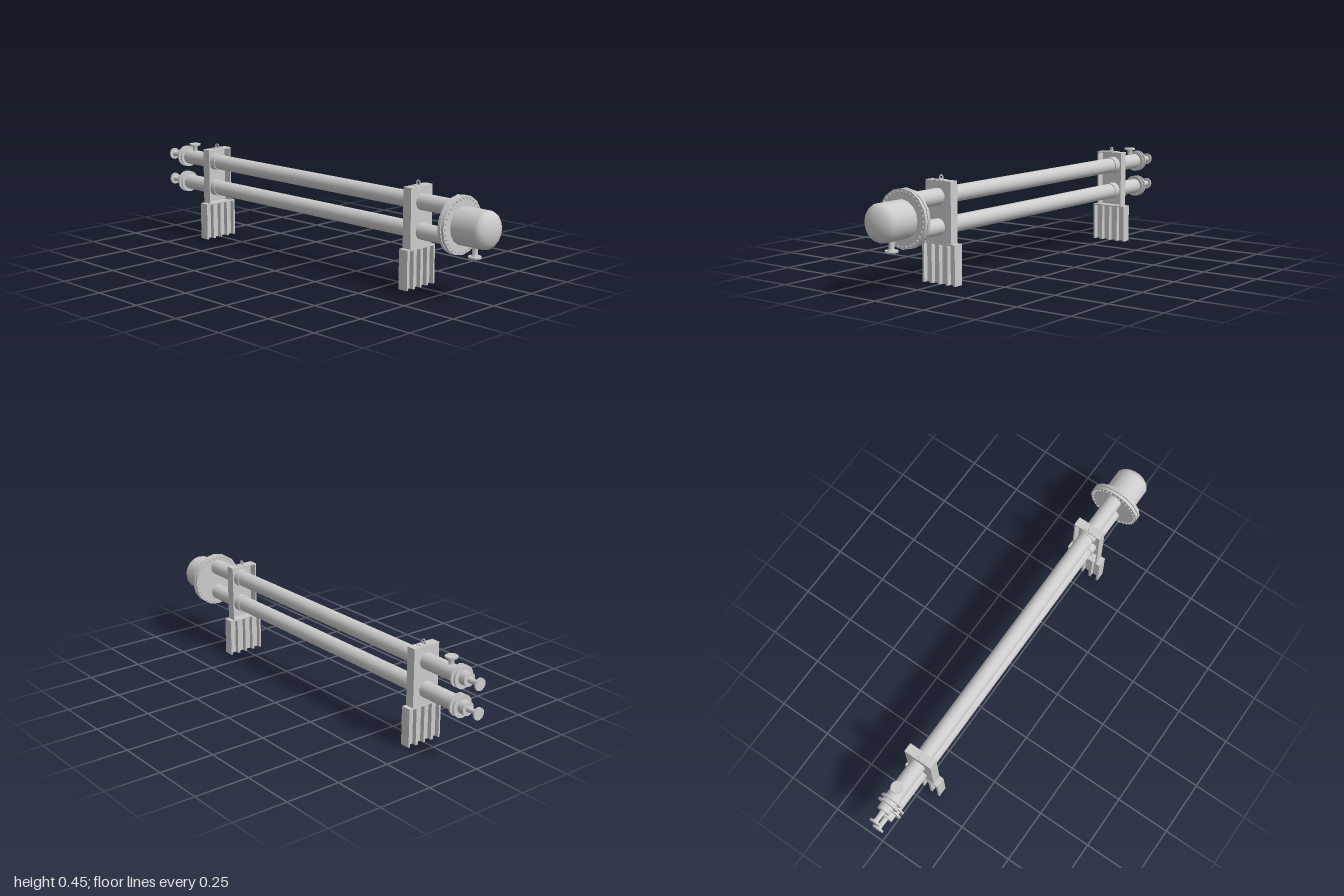
import * as THREE from 'three';

const mat = new THREE.MeshStandardMaterial({ color: 0xcccccc });
const matDouble = new THREE.MeshStandardMaterial({ color: 0xcccccc, side: THREE.DoubleSide });

function add(parent, name, geo, x = 0, y = 0, z = 0, material = mat) {
  const m = new THREE.Mesh(geo, material);
  m.name = name;
  m.position.set(x, y, z);
  parent.add(m);
  return m;
}

const box = (p, name, w, h, d, x, y, z) => add(p, name, new THREE.BoxGeometry(w, h, d), x, y, z);

// Cylinder lying along z between z0 and z1
function rod(p, name, r, z0, z1, x, y, sides = 16) {
  const g = new THREE.CylinderGeometry(r, r, Math.abs(z1 - z0), sides).rotateX(Math.PI / 2);
  return add(p, name, g, x, y, (z0 + z1) / 2);
}

// Short flared pipe along +y ending in a flat disc
function nozzle(p, name, length) {
  const g = new THREE.Group();
  g.name = name;
  const neck = [[0.013, 0], [0.0115, length * 0.4], [0.0115, length - 0.016], [0.015, length - 0.008]];
  add(g, 'nozzleNeck', new THREE.LatheGeometry(neck.map(([r, y]) => new THREE.Vector2(r, y)), 16), 0, 0, 0, matDouble);
  add(g, 'nozzleDisc', new THREE.CylinderGeometry(0.027, 0.027, 0.008, 16), 0, length - 0.004, 0);
  p.add(g);
  return g;
}

// Domed head with bolted flange pair and drain
function head() {
  const g = new THREE.Group();
  g.name = 'head';
  const profile = [new THREE.Vector2(0.08, 0.815), new THREE.Vector2(0.08, 0.955)];
  for (let i = 1; i <= 8; i++) {
    const a = (i / 8) * Math.PI / 2;
    profile.push(new THREE.Vector2(0.08 * Math.cos(a), 0.955 + 0.045 * Math.sin(a)));
  }
  add(g, 'bonnet', new THREE.LatheGeometry(profile, 16).rotateX(Math.PI / 2), 0, 0.3, 0, matDouble);
  rod(g, 'tubePlate', 0.123, 0.806, 0.819, 0, 0.3);
  rod(g, 'bonnetFlange', 0.123, 0.823, 0.836, 0, 0.3);
  rod(g, 'gasket', 0.1, 0.818, 0.824, 0, 0.3);
  for (let i = 0; i < 32; i++) {
    const a = (i / 32) * Math.PI * 2;
    rod(g, 'flangeBolt', 0.0042, 0.8, 0.842, 0.111 * Math.cos(a), 0.3 + 0.111 * Math.sin(a), 8);
  }
  const drain = nozzle(g, 'drain', 0.058);
  drain.rotation.x = Math.PI;
  drain.position.set(0, 0.235, 0.9);
  return g;
}

// Long tube with flanged rear end and end nozzle
function tube(y) {
  const g = new THREE.Group();
  g.name = 'tube';
  rod(g, 'shell', 0.035, -0.9, 0.81, 0, y, 24);
  rod(g, 'rearFlange', 0.05, -0.887, -0.879, 0, y);
  rod(g, 'rearFlange', 0.05, -0.909, -0.901, 0, y);
  rod(g, 'rearCap', 0.03, -0.94, -0.9, 0, y);
  const end = nozzle(g, 'endNozzle', 0.062);
  end.rotation.x = -Math.PI / 2;
  end.position.set(0, y, -0.938);
  return g;
}

// Channel frame (plate on +z, open on -z) over a ribbed leg
function support() {
  const g = new THREE.Group();
  g.name = 'support';
  const t = 0.006, d = 0.042;
  box(g, 'framePlate', 0.134, 0.26, t, 0, 0.3, d / 2 - t / 2);
  box(g, 'frameTop', 0.134, t, d, 0, 0.427, 0);
  for (const s of [-1, 1]) box(g, 'frameSide', t, 0.26, d, s * 0.064, 0.3, 0);
  for (const y of [0.24, 0.365]) rod(g, 'collar', 0.039, -d / 2, d / 2 - t, 0, y, 24);

  // Leg: cap, web and vertical ribs
  box(g, 'legCap', 0.174, t, 0.046, 0, 0.169, 0);
  box(g, 'legWeb', 0.17, 0.168, 0.005, 0, 0.084, 0);
  for (const x of [-0.0825, -0.042, 0, 0.042, 0.0825])
    box(g, 'legRib', Math.abs(x) === 0.042 ? 0.012 : 0.009, 0.168, 0.046, x, 0.084, 0);

  // Lifting lug with an eye
  box(g, 'lugBase', 0.054, 0.003, 0.03, 0, 0.431, 0);
  const lug = new THREE.Shape();
  lug.moveTo(-0.012, 0);
  lug.lineTo(0.012, 0);
  lug.lineTo(0.012, 0.011);
  lug.absarc(0, 0.011, 0.012, 0, Math.PI, false);
  lug.lineTo(-0.012, 0);
  const eye = new THREE.Path();
  eye.absarc(0, 0.012, 0.006, 0, Math.PI * 2, true);
  lug.holes.push(eye);
  const geo = new THREE.ExtrudeGeometry(lug, { depth: 0.003, bevelEnabled: false, curveSegments: 10 });
  add(g, 'liftingLug', geo.translate(0, 0, -0.0015).rotateY(Math.PI / 2), 0, 0.43, 0);
  return g;
}

export function createModel() {
  const model = new THREE.Group();
  model.name = 'doublePipeHeatExchanger';
  model.add(head(), tube(0.365), tube(0.24));

  // Inlet on top of the upper tube
  nozzle(model, 'inlet', 0.048).position.set(0, 0.385, -0.835);

  // Supports with their open sides facing each other
  const front = support();
  front.position.z = 0.597;
  const rear = support();
  rear.position.z = -0.672;
  rear.rotation.y = Math.PI;
  model.add(front, rear);
  return model;
}
